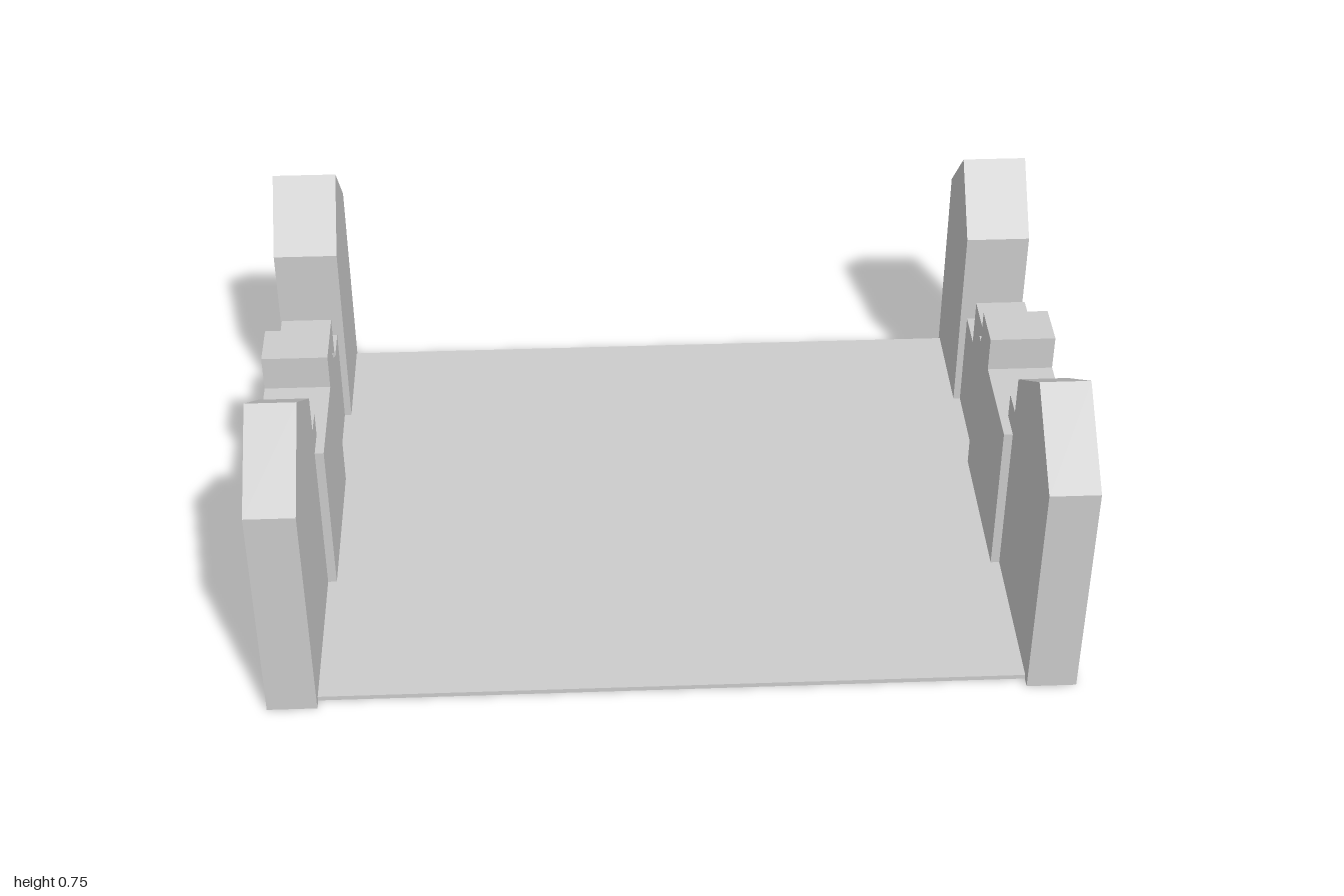
import * as THREE from 'three';

const material = new THREE.MeshStandardMaterial({ color: 0xcccccc, flatShading: true });

// Side silhouettes as [z, y] points, extruded across x from inner to outer
const blocks = [
  { name: 'FrontHouse', inner: 0.857, outer: 0.978,
    profile: [[0.722, 0], [0.722, 0.595], [0.498, 0.754], [0.274, 0.595], [0.274, 0.494], [0.202, 0.494], [0.202, 0]] },
  { name: 'MiddleWall', inner: 0.835, outer: 1,
    profile: [[0.277, 0], [0.277, 0.428], [0.007, 0.428], [0.007, 0.52], [-0.113, 0.52], [-0.113, 0.428], [-0.138, 0.428], [-0.138, 0]] },
  { name: 'SteppedWall', inner: 0.853, outer: 0.982,
    profile: [[-0.13, 0], [-0.13, 0.411], [-0.31, 0.411], [-0.31, 0.284], [-0.425, 0.284], [-0.425, 0]] },
  { name: 'BackHouse', inner: 0.835, outer: 1,
    profile: [[-0.418, 0], [-0.418, 0.54], [-0.57, 0.697], [-0.722, 0.54], [-0.722, 0]] },
];

function blockGeometry({ profile, inner, outer }) {
  const shape = new THREE.Shape(profile.map(([z, y]) => new THREE.Vector2(z, y)));
  const depth = outer - inner;
  const geometry = new THREE.ExtrudeGeometry(shape, { depth, bevelEnabled: false });
  // Turn the profile into the z-y plane and centre its thickness on x = 0
  return geometry.translate(0, 0, -depth / 2).rotateY(-Math.PI / 2);
}

export function createModel() {
  const model = new THREE.Group();
  model.name = 'courtyard';

  // Thin ground slab between the two rows
  const floor = new THREE.Mesh(new THREE.BoxGeometry(1.716, 0.012, 1.4), material);
  floor.name = 'floor';
  floor.position.set(0, 0.006, -0.005);
  model.add(floor);

  // Matching rows of buildings on both sides
  for (const [side, sign] of [['left', 1], ['right', -1]]) {
    const row = new THREE.Group();
    row.name = `${side}Row`;
    for (const block of blocks) {
      const mesh = new THREE.Mesh(blockGeometry(block), material);
      mesh.name = side + block.name;
      mesh.position.x = sign * (block.inner + block.outer) / 2;
      row.add(mesh);
    }
    model.add(row);
  }
  return model;
}
